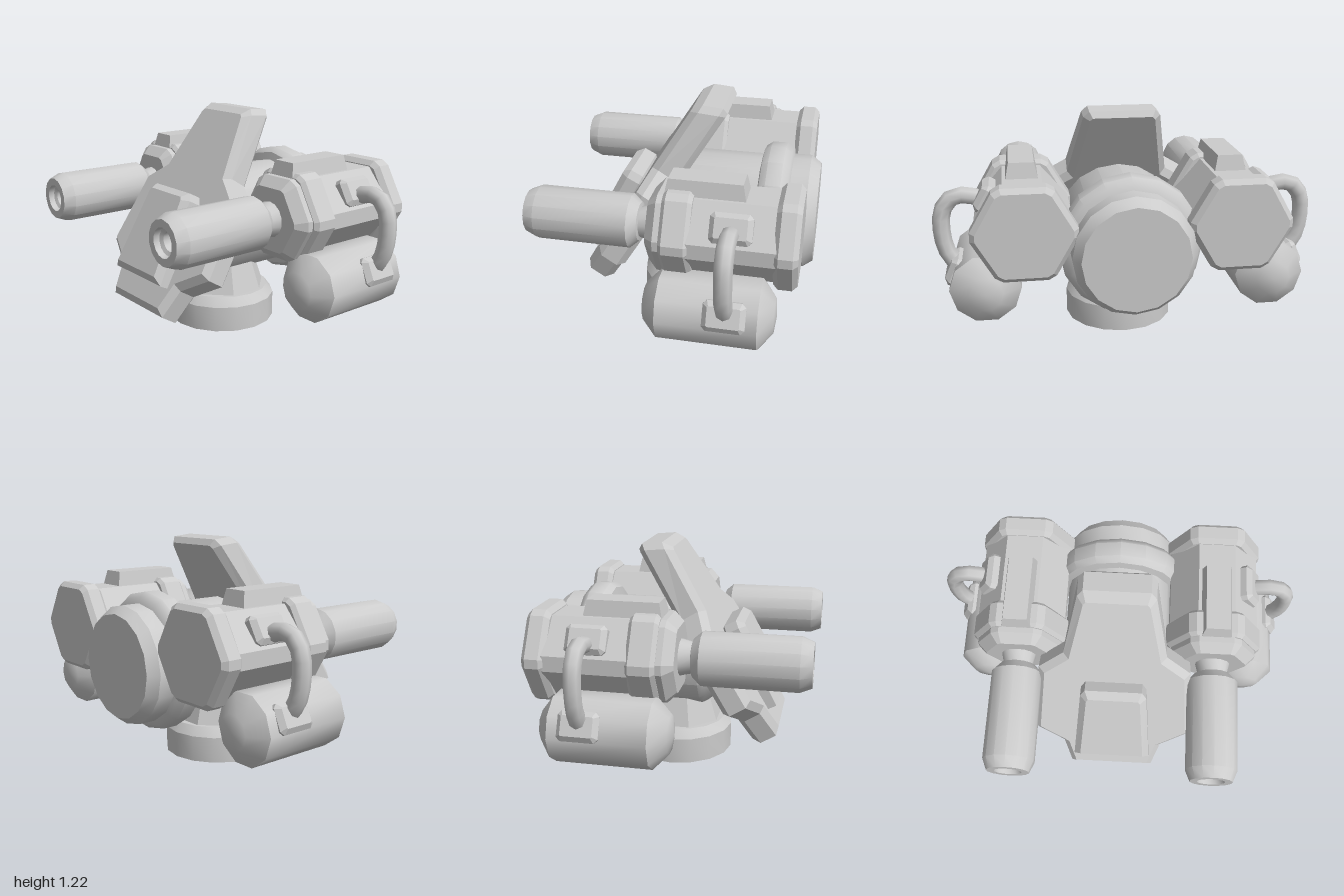
import * as THREE from 'three';
import { toCreasedNormals } from 'three/addons/utils/BufferGeometryUtils.js';

const grey = new THREE.MeshStandardMaterial({ color: 0xcccccc });
const greyOpen = new THREE.MeshStandardMaterial({ color: 0xcccccc, side: THREE.DoubleSide });

function add(parent, name, geometry, x = 0, y = 0, z = 0, material = grey) {
  const mesh = new THREE.Mesh(geometry, material);
  mesh.name = name;
  mesh.position.set(x, y, z);
  parent.add(mesh);
  return mesh;
}

// Round part along z from [radius, z] pairs, listed back to front
function turned(profile, sides, crease = 0.6) {
  const g = new THREE.LatheGeometry(profile.map(([r, z]) => new THREE.Vector2(r, z)), sides);
  g.rotateX(Math.PI / 2);
  return toCreasedNormals(g, crease);
}

// Flat outline extruded from z0 to z1 with chamfered edges inside the outline
function slab(points, z0, z1, bevel) {
  const shape = new THREE.Shape(points.map(([x, y]) => new THREE.Vector2(x, y)));
  const g = new THREE.ExtrudeGeometry(shape, {
    depth: z1 - z0 - 2 * bevel, bevelEnabled: true, bevelThickness: bevel,
    bevelSize: bevel, bevelOffset: -bevel, bevelSegments: 1,
  });
  return g.translate(0, 0, z0 + bevel);
}

// Mirror the right-hand half of an outline (listed bottom to top)
const mirrored = (half) => [...half, ...half.map(([x, y]) => [-x, y]).reverse()];

// Hexagon with flat top and cut corners
function cutHexagon(R, cut) {
  const corner = (i) => new THREE.Vector2(R * Math.cos(i * Math.PI / 3), R * Math.sin(i * Math.PI / 3));
  const pts = [];
  for (let i = 0; i < 6; i++) {
    for (const j of [i - 1, i + 1]) pts.push(corner(i).lerp(corner(j), cut).toArray());
  }
  return pts;
}

// Box whose outer (+z) end is smaller
function taperedBox(w, h, d, inset) {
  const g = new THREE.BoxGeometry(w, h, d).toNonIndexed();
  const p = g.attributes.position;
  for (let i = 0; i < p.count; i++) {
    if (p.getZ(i) > 0) {
      p.setX(i, p.getX(i) - Math.sign(p.getX(i)) * inset);
      p.setY(i, p.getY(i) - Math.sign(p.getY(i)) * inset);
    }
  }
  g.computeVertexNormals();
  return g;
}

// Hose pad with cut corners, facing outward at the given angle
function bracket(parent, name, x, y, angle) {
  const outline = mirrored([[0.085, -0.075], [0.105, -0.055], [0.105, 0.055], [0.085, 0.075]]);
  const pad = slab(outline, -0.05, 0.045, 0.025);
  pad.rotateY(Math.PI / 2);
  add(parent, name, pad, x, y, -0.36).rotation.z = angle;
}

function gunPod(side) {
  const pod = new THREE.Group();
  pod.name = side > 0 ? 'leftGunPod' : 'rightGunPod';
  const cx = side * 0.54, cy = 0.71;

  // Faceted housing with two collars
  const housing = mirrored([[0.1, -0.21], [0.245, -0.04], [0.245, 0.04], [0.1, 0.21]]);
  add(pod, 'podNose', slab(cutHexagon(0.248, 0.12), -0.1, 0.07, 0.05), cx, cy);
  add(pod, 'podFrontCollar', slab(cutHexagon(0.275, 0.1), -0.16, -0.01, 0.02), cx, cy);
  add(pod, 'podHousing', slab(housing, -0.62, -0.1, 0.01), cx, cy);
  add(pod, 'podRearCollar', slab(cutHexagon(0.277, 0.1), -0.685, -0.565, 0.025), cx, cy);

  // Sight rail on top
  const rail = add(pod, 'topRail', taperedBox(0.18, 0.42, 0.12, 0.025), cx, 0.94, -0.21);
  rail.rotation.x = -Math.PI / 2;

  // Hollow barrel
  add(pod, 'barrel', turned([[0.1, 0.05], [0.08, 0.13], [0.1, 0.135], [0.14, 0.18], [0.14, 0.67],
    [0.115, 0.73], [0.075, 0.73], [0.07, 0.7], [0.05, 0.69], [0.05, 0.6], [0, 0.6]], 14, 0.5), cx, cy);

  // Canister with domed ends
  const canister = add(pod, 'canister', turned([[0, -0.6], [0.09, -0.59], [0.183, -0.52], [0.183, -0.02],
    [0.1, 0.06], [0, 0.08]], 10, 0.75), side * 0.745, 0.376);
  canister.rotation.z = Math.PI / 10;

  // Hose joining the housing and the canister
  const path = [[0.73, 0.8], [0.81, 0.83], [0.89, 0.825], [0.945, 0.76], [0.957, 0.65], [0.935, 0.53], [0.87, 0.43]]
    .map(([x, y]) => new THREE.Vector3(side * x, y, -0.36));
  add(pod, 'hose', new THREE.TubeGeometry(new THREE.CatmullRomCurve3(path), 10, 0.045, 8));
  const turn = (a) => (side > 0 ? a : Math.PI - a);
  bracket(pod, 'upperBracket', side * 0.725, 0.825, turn(0.52));
  bracket(pod, 'lowerBracket', side * 0.89, 0.44, turn(0.42));
  return pod;
}

// Sloping front shield with a raised panel
function frontShield() {
  const shield = new THREE.Group();
  shield.name = 'shield';
  shield.rotation.x = -0.558;
  const plate = slab(mirrored([[0.235, -0.125], [0.28, 0.04], [0.45, 0.15],
    [0.415, 0.585], [0.28, 0.69], [0.205, 1.085], [0.175, 1.122]]), 0.42, 0.588, 0.035);
  // Shear the upper end so that it lies level
  const p = plate.attributes.position;
  for (let i = 0; i < p.count; i++) {
    if (p.getY(i) > 0.95) p.setY(i, p.getY(i) - 0.5 * (p.getZ(i) - 0.5));
  }
  plate.computeVertexNormals();
  add(shield, 'shieldPlate', plate);
  const panel = slab(mirrored([[0.215, 0.02], [0.18, 0.49], [0.155, 0.53]]), 0.53, 0.672, 0.035);
  add(shield, 'shieldPanel', panel, 0, 0.045, 0).rotation.x = 0.07;
  return shield;
}

export function createModel() {
  const model = new THREE.Group();
  model.name = 'turret';

  // Hollow round base and tapered neck
  const baseProfile = [[0.302, 0], [0.302, 0.14], [0.265, 0.19], [0.2, 0.19]].map(([r, y]) => new THREE.Vector2(r, y));
  add(model, 'base', toCreasedNormals(new THREE.LatheGeometry(baseProfile, 16), 0.5), 0, 0, -0.05, greyOpen);
  const neck = new THREE.CylinderGeometry(0.16, 0.25, 0.27, 8).toNonIndexed();
  neck.rotateY(Math.PI / 8);
  neck.computeVertexNormals();
  add(model, 'neck', neck, 0, 0.32, -0.05);

  // Central drum with rear ring and cap
  add(model, 'drum', turned([[0, -0.5], [0.3, -0.5], [0.3, 0.1], [0.28, 0.135], [0.245, 0.175], [0, 0.175]], 16), 0, 0.578);
  add(model, 'drumRing', turned([[0.3, -0.59], [0.345, -0.575], [0.37, -0.54], [0.37, -0.46],
    [0.345, -0.425], [0.27, -0.41]], 16, 0.7), 0, 0.578);
  add(model, 'drumCap', turned([[0, -0.735], [0.275, -0.735], [0.315, -0.68], [0.315, -0.56]], 16), 0, 0.575);

  model.add(frontShield());
  for (const side of [1, -1]) model.add(gunPod(side));
  return model;
}
